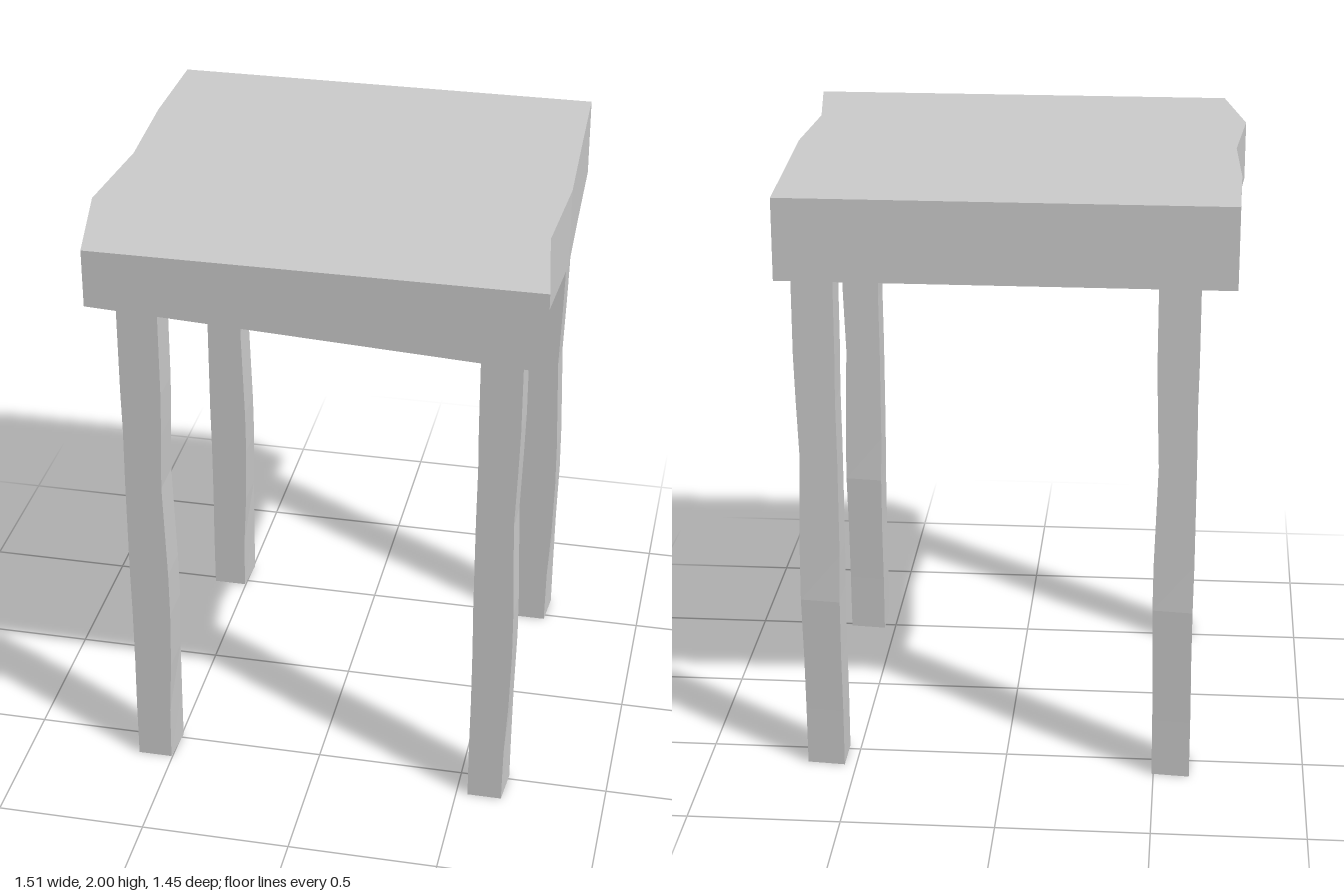
import * as THREE from 'three';

const material = new THREE.MeshStandardMaterial({ color: 0xcccccc, flatShading: true, side: THREE.DoubleSide });

// Capped loft through four-cornered rings, counter-clockwise seen from the last ring's end
function loft(rings) {
  const pos = [];
  const quad = (a, b, c, d) => pos.push(...a, ...b, ...c, ...a, ...c, ...d);
  for (let r = 0; r < rings.length - 1; r++) {
    for (let i = 0; i < 4; i++) {
      const j = (i + 1) % 4;
      quad(rings[r][i], rings[r][j], rings[r + 1][j], rings[r + 1][i]);
    }
  }
  const [a, b, c, d] = rings[0];
  quad(d, c, b, a);
  quad(...rings[rings.length - 1]);
  const geometry = new THREE.BufferGeometry();
  geometry.setAttribute('position', new THREE.Float32BufferAttribute(pos, 3));
  geometry.computeVertexNormals();
  return geometry;
}

function addPart(group, name, geometry) {
  const mesh = new THREE.Mesh(geometry, material);
  mesh.name = name;
  group.add(mesh);
  return mesh;
}

export function createModel() {
  const group = new THREE.Group();
  group.name = 'stool';

  // Seat slab with uneven sides: z, low x, high x, underside height at low x
  const seat = [
    [-0.725, -0.73, 0.705, 1.735],
    [-0.36, -0.737, 0.717, 1.735],
    [0, -0.722, 0.73, 1.775],
    [0.36, -0.757, 0.708, 1.805],
    [0.725, -0.685, 0.755, 1.808],
  ].map(([z, x0, x1, y0]) => [[x0, y0, z], [x1, 1.735, z], [x1, 2, z], [x0, 2, z]]);
  addPart(group, 'seat', loft(seat));

  // Rough-hewn leg about its own centre line: y, low x, front high x, back high x,
  // back z at high x, back z at low x
  const leg = loft([
    [0, -0.065, 0.05, 0.06, -0.066, -0.077],
    [0.2, -0.065, 0.053, 0.061, -0.066, -0.078],
    [0.39, -0.063, 0.063, 0.063, -0.066, -0.08],
    [0.6, -0.063, 0.068, 0.068, -0.066, -0.08],
    [0.76, -0.065, 0.067, 0.067, -0.064, -0.066],
    [1.1, -0.065, 0.057, 0.057, -0.063, -0.063],
    [1.3, -0.063, 0.064, 0.064, -0.063, -0.063],
    [1.45, -0.065, 0.068, 0.068, -0.063, -0.063],
    [1.85, -0.065, 0.068, 0.068, -0.063, -0.063],
  ].map(([y, x0, xf, xb, zb1, zb0]) => [[x0, y, 0.062], [xf, y, 0.062], [xb, y, zb1], [x0, y, zb0]]));

  for (const [side, x] of [['Right', -0.554], ['Left', 0.604]]) {
    for (const [end, z] of [['front', 0.549], ['back', -0.536]]) {
      addPart(group, `${end}${side}Leg`, leg).position.set(x, 0, z);
    }
  }
  return group;
}
